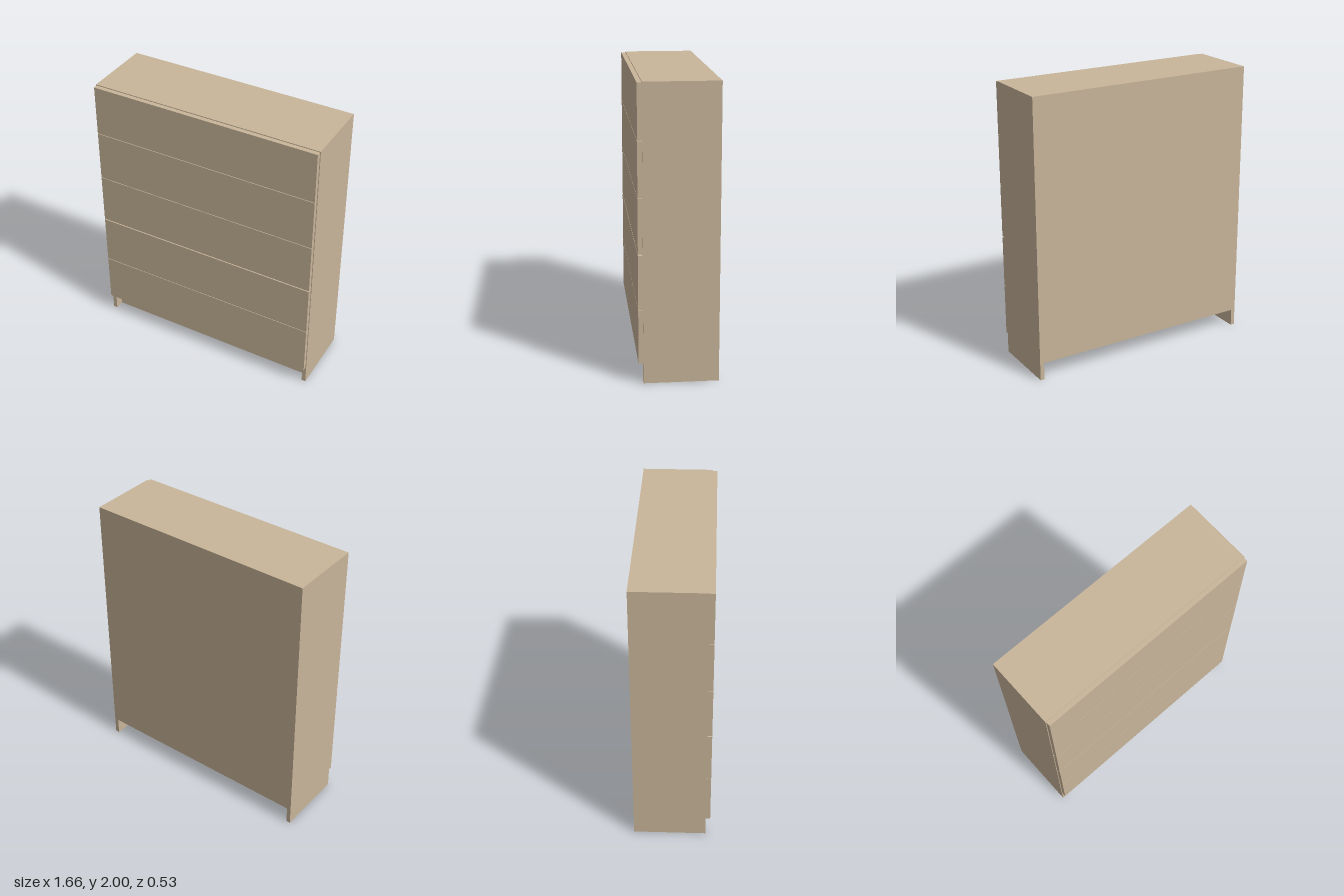
import * as THREE from 'three';

export function createModel() {
  const group = new THREE.Group();
  const wood = new THREE.MeshStandardMaterial({ color: 0xc8b59a });
  wood.name = 'pale oak';

  // Box given by its min and max along each axis
  function panel(name, [x0, x1], [y0, y1], [z0, z1]) {
    const mesh = new THREE.Mesh(new THREE.BoxGeometry(x1 - x0, y1 - y0, z1 - z0), wood);
    mesh.name = name;
    mesh.position.set((x0 + x1) / 2, (y0 + y1) / 2, (z0 + z1) / 2);
    group.add(mesh);
  }

  const outer = 0.832, inner = 0.802; // half widths outside and between the sides
  const back = -0.267, carcassFront = 0.235, front = 0.267;
  const base = 0.125, height = 2;
  const inside = [-inner, inner];

  // Carcass
  panel('leftSide', [inner, outer], [0, height], [back, carcassFront]);
  panel('rightSide', [-outer, -inner], [0, height], [back, carcassFront]);
  panel('topPanel', inside, [height - 0.03, height], [back, carcassFront]);
  panel('backPanel', inside, [base, height - 0.03], [back, back + 0.015]);
  panel('bottomPanel', inside, [base, base + 0.03], [back + 0.015, carcassFront]);

  // Recessed plinth
  panel('plinth', inside, [0, base], [0.14, 0.17]);

  // Five drawer fronts, with a slightly wider gap above the second
  const bottoms = [0.14, 0.512, 0.888, 1.259, 1.63];
  const tops = [0.508, 0.88, 1.255, 1.626, 1.994];
  bottoms.forEach((y, i) => {
    panel(`drawerFront${i + 1}`, [-0.827, 0.827], [y, tops[i]], [carcassFront, front]);
  });

  return group;
}
